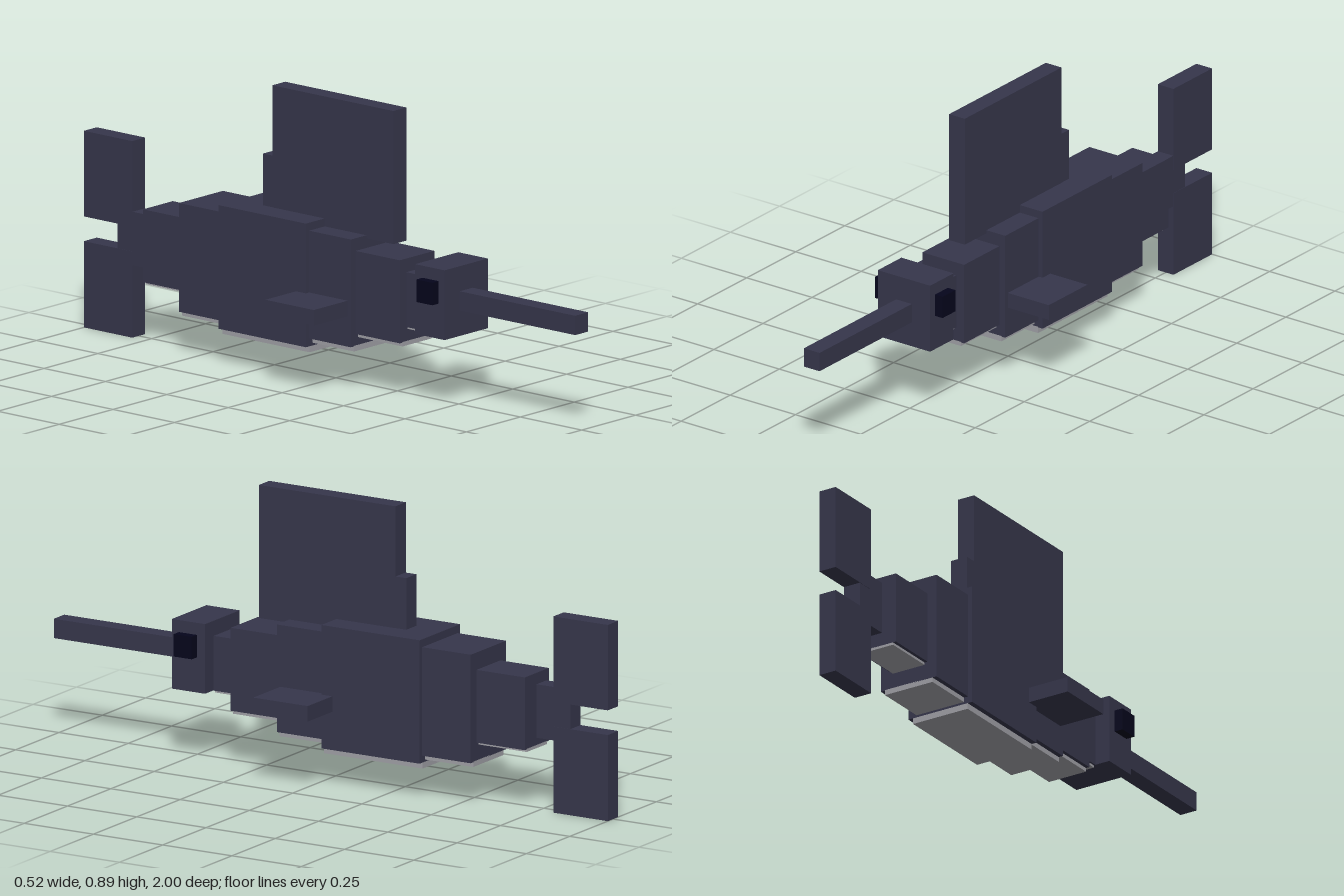
import * as THREE from 'three';

export function createModel() {
  const model = new THREE.Group();
  const skin = new THREE.MeshStandardMaterial({ name: 'dark slate skin', color: 0x36364b });
  const pale = new THREE.MeshStandardMaterial({ name: 'pale belly', color: 0xa0a0a6 });
  const black = new THREE.MeshStandardMaterial({ name: 'eye black', color: 0x05051c });

  // Box given by its limits on each axis
  function block(name, material, [x0, x1], [y0, y1], [z0, z1], parent = model) {
    const mesh = new THREE.Mesh(new THREE.BoxGeometry(x1 - x0, y1 - y0, z1 - z0), material);
    mesh.position.set((x0 + x1) / 2, (y0 + y1) / 2, (z0 + z1) / 2);
    mesh.name = name;
    parent.add(mesh);
  }
  const wide = (w) => [-w, w];

  // Stepped body: name, half width, bottom, top, back, front, belly half width, belly bottom
  const segments = [
    ['neck', 0.05, 0.224, 0.397, 0.33, 0.41, 0.044, 0.217],
    ['shoulder', 0.08, 0.178, 0.44, 0.15, 0.33, 0.068, 0.166],
    ['chest', 0.102, 0.14, 0.48, -0.02, 0.15, 0.087, 0.124],
    ['middle', 0.117, 0.115, 0.505, -0.375, -0.02, 0.1, 0.096],
    ['hip', 0.102, 0.137, 0.48, -0.55, -0.375, 0.087, 0.122],
    ['tailRoot', 0.069, 0.195, 0.425, -0.725, -0.55, 0.058, 0.187],
  ];
  const body = new THREE.Group();
  body.name = 'body';
  model.add(body);
  for (const [name, w, y0, y1, z0, z1, bw, by] of segments) {
    block(name, skin, wide(w), [y0, y1], [z0, z1], body);
    block(name + 'Belly', pale, wide(bw), [by, y0 + 0.002], [z0, z1], body);
  }

  // Head and long bill
  block('head', skin, wide(0.1), [0.225, 0.445], [0.41, 0.53]);
  block('bill', skin, wide(0.03), [0.305, 0.366], [0.53, 1]);

  // Paired eyes and pectoral fins
  for (const [side, s] of [['left', 1], ['right', -1]]) {
    const span = (a, b) => (s > 0 ? [a, b] : [-b, -a]);
    block(side + 'Eye', black, span(0.09, 0.129), [0.336, 0.407], [0.44, 0.505]);
    block(side + 'PectoralFin', skin, span(0.09, 0.259), [0.236, 0.285], [-0.06, 0.137]);
  }

  // Tall dorsal fin with a low rear step
  block('dorsalFin', skin, wide(0.03), [0.47, 0.89], [-0.233, 0.26]);
  block('dorsalFinStep', skin, wide(0.029), [0.47, 0.668], [-0.272, -0.233]);

  // Tail fin: a stem and two lobes
  block('tailStem', skin, wide(0.029), [0.228, 0.397], [-0.864, -0.742]);
  block('upperTailLobe', skin, wide(0.03), [0.35, 0.62], [-1, -0.803]);
  block('lowerTailLobe', skin, wide(0.03), [0, 0.272], [-1, -0.803]);

  return model;
}
